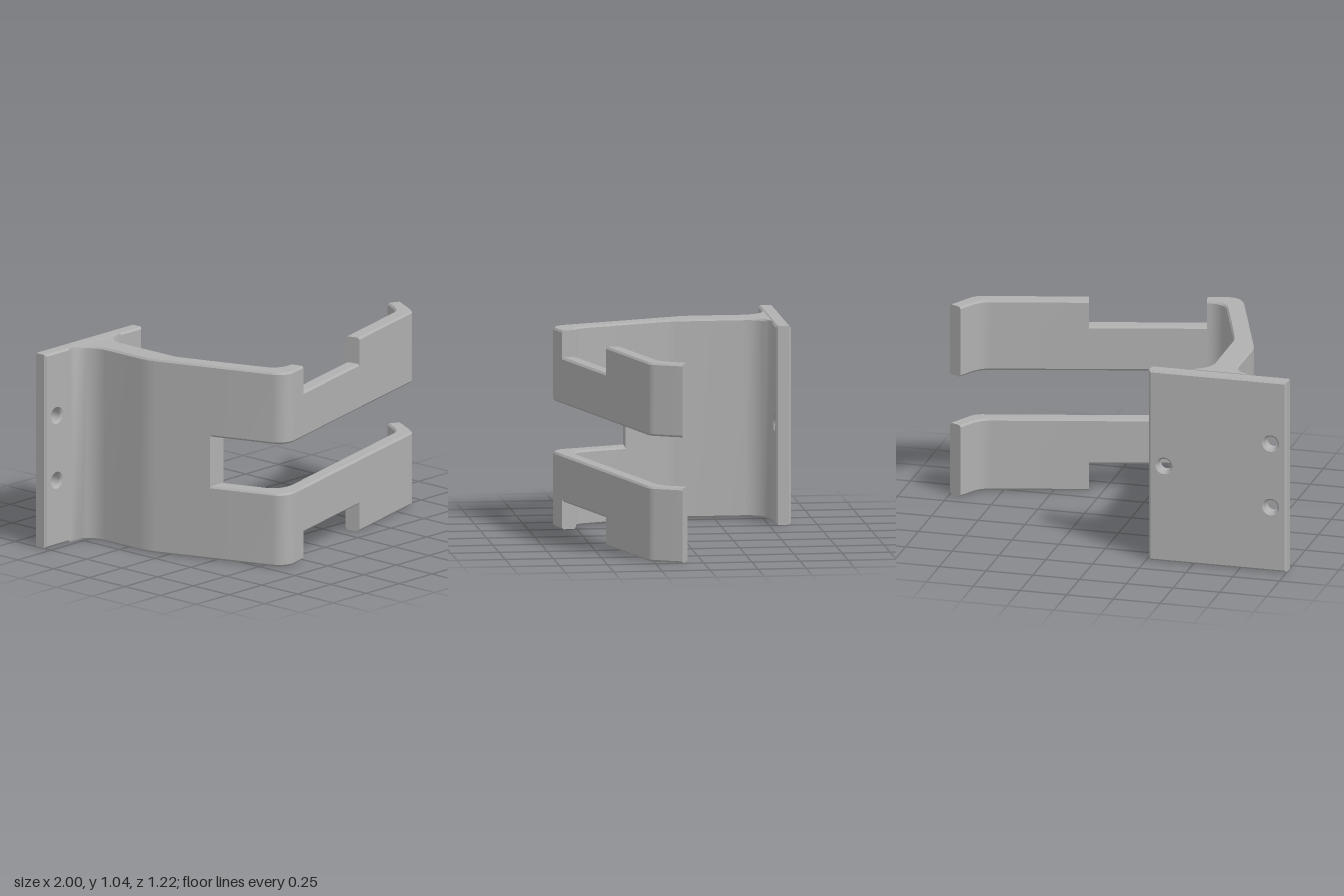
import * as THREE from 'three';
import { toCreasedNormals } from 'three/addons/utils/BufferGeometryUtils.js';

const HEIGHT = 1.036, CHAMFER = 0.01, STEPS = 8;

// Polyline of [x, z, radius] with every radiused corner turned into an arc
function roundPath(points) {
  const out = [];
  points.forEach(([x, z, r], i) => {
    const p = new THREE.Vector2(x, z);
    if (!r) return out.push(p);
    const at = (j) => new THREE.Vector2(points[j][0], points[j][1]);
    const d1 = p.clone().sub(at(i - 1)).normalize();
    const d2 = at(i + 1).sub(p).normalize();
    const side = Math.sign(d1.cross(d2));
    const turn = Math.acos(d1.dot(d2));
    const normal = new THREE.Vector2(-d1.y * side, d1.x * side);
    const start = p.clone().addScaledVector(d1, -r * Math.tan(turn / 2));
    for (let k = 0; k <= STEPS; k++) {
      const a = (turn * k) / STEPS;
      out.push(start.clone().addScaledVector(d1, r * Math.sin(a)).addScaledVector(normal, r * (1 - Math.cos(a))));
    }
  });
  return out;
}

// Strip between two plan outlines, from y0 to y1, with chamfered long edges
function strip(outerPoints, innerPoints, y0, y1) {
  const outer = roundPath(outerPoints), inner = roundPath(innerPoints), c = CHAMFER;
  const rings = outer.map((o, s) => {
    const i = inner[s];
    const u = i.clone().sub(o).setLength(c);
    const o2 = o.clone().add(u), i2 = i.clone().sub(u);
    return [[o, y0 + c], [o, y1 - c], [o2, y1], [i2, y1], [i, y1 - c], [i, y0 + c], [i2, y0], [o2, y0]]
      .map(([p, y]) => [p.x, y, p.y]);
  });
  const pos = [];
  const tri = (a, b, d) => pos.push(...a, ...b, ...d);
  for (let s = 0; s < rings.length - 1; s++) {
    for (let k = 0; k < 8; k++) {
      const n = (k + 1) % 8;
      tri(rings[s][k], rings[s + 1][n], rings[s][n]);
      tri(rings[s][k], rings[s + 1][k], rings[s + 1][n]);
    }
  }
  const first = rings[0], last = rings[rings.length - 1];
  for (let k = 1; k < 7; k++) {
    tri(first[0], first[k], first[k + 1]);
    tri(last[0], last[k + 1], last[k]);
  }
  const g = new THREE.BufferGeometry();
  g.setAttribute('position', new THREE.Float32BufferAttribute(pos, 3));
  return toCreasedNormals(g, 0.5);
}

// Mounting plate with three screw holes
function plateGeometry() {
  const x0 = -1, x1 = -0.263, c = CHAMFER;
  const shape = new THREE.Shape();
  shape.moveTo(x0, 0).lineTo(x1, 0).lineTo(x1, HEIGHT).lineTo(x0, HEIGHT).closePath();
  for (const [x, y] of [[-0.915, 0.35], [-0.915, 0.697], [-0.345, 0.522]]) {
    shape.holes.push(new THREE.Path().absarc(x, y, 0.035, 0, Math.PI * 2, true));
  }
  const g = new THREE.ExtrudeGeometry(shape, {
    depth: 0.077 - 2 * c, bevelThickness: c, bevelSize: c, bevelOffset: -c, bevelSegments: 1, curveSegments: 24,
  });
  g.translate(0, 0, -0.615 + c);
  return toCreasedNormals(g, 0.5);
}

export function createModel() {
  const model = new THREE.Group();
  const grey = new THREE.MeshStandardMaterial({ color: 0xb0b0b0 });
  grey.name = 'grey plastic';
  const add = (name, geometry, parent = model) => {
    const mesh = new THREE.Mesh(geometry, grey);
    mesh.name = name;
    parent.add(mesh);
  };

  add('mountingPlate', plateGeometry());

  // Flared web that leaves the plate and bends forward
  const webEnd = [[-0.57, 0.22], [-0.467, 0.22]];
  add('web', strip(
    [[-0.825, -0.54], [-0.69, -0.54, 0.132], [-0.69, -0.113, 0.3], webEnd[0]],
    [[-0.42, -0.54], [-0.555, -0.54, 0.132], [-0.555, -0.024, 0.2], webEnd[1]],
    0, HEIGHT));

  // Two mirrored hooks, each with a notch in its far edge
  const notchStart = [[-0.247, 0.578], [-0.267, 0.501]];
  const notchEnd = [[0.342, 0.424], [0.322, 0.347]];
  const hooks = [
    { name: 'lowerHook', full: [0, 0.39], notched: [0.145, 0.39] },
    { name: 'upperHook', full: [0.655, HEIGHT], notched: [0.655, 0.897] },
  ];
  for (const { name, full, notched } of hooks) {
    const hook = new THREE.Group();
    hook.name = name;
    model.add(hook);
    add('elbow', strip(
      [webEnd[0], [-0.425, 0.6235, 0.087], notchStart[0]],
      [webEnd[1], [-0.358, 0.524, 0.1], notchStart[1]], ...full), hook);
    add('notchedArm', strip(
      [notchStart[0], notchEnd[0]],
      [notchStart[1], notchEnd[1]], ...notched), hook);
    add('hookTip', strip(
      [notchEnd[0], [0.914, 0.275, 0.07], [1, 0.112]],
      [notchEnd[1], [0.865, 0.206, 0.13], [0.933, 0.076]], ...full), hook);
  }
  return model;
}
